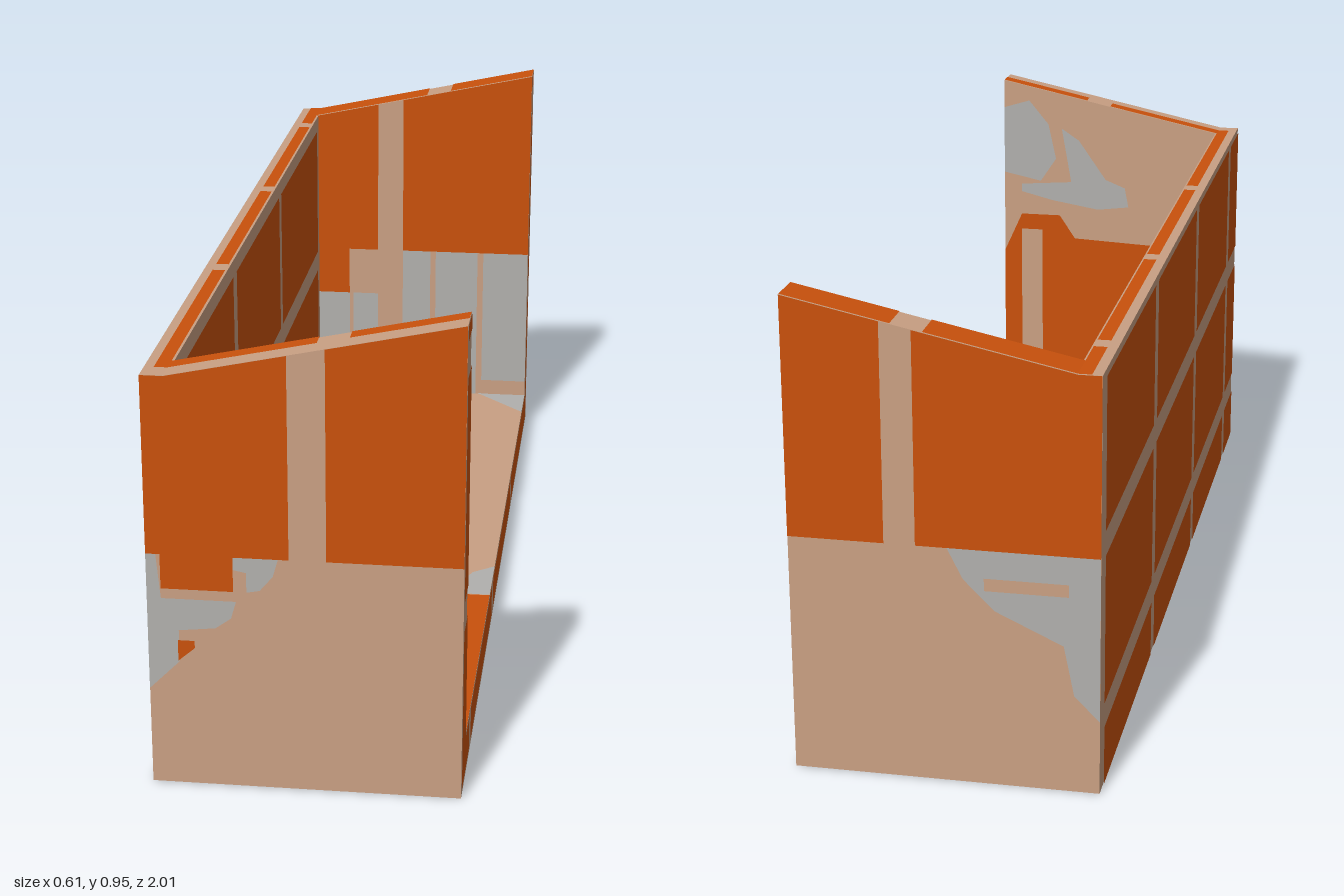
import * as THREE from 'three';

const brick = new THREE.MeshStandardMaterial({ name: 'orange brick', color: 0xc9510c });
const mortar = new THREE.MeshStandardMaterial({ name: 'tan mortar', color: 0xc9a083 });
const plaster = new THREE.MeshStandardMaterial({ name: 'grey plaster', color: 0xb1b0ad });

const L = -0.299, R = 0.295, IN = -0.25;   // outer back, open side, inner back
const Z = 1, ZI = 0.925, FLOOR = 0.09, LOW = 0.833, HIGH = 0.95;
const SLOPE = (HIGH - LOW) / (R + 0.255);
const V = (x, y, z) => new THREE.Vector3(x, y, z);
const topAt = (x) => LOW + Math.max(0, x + 0.255) * SLOPE;

// A face is an origin, two in-plane axes and an outward normal
const face = (o, u, v, n) => ({ o, u, v, n });
const X = V(1, 0, 0), Y = V(0, 1, 0), ZZ = V(0, 0, 1);
const faces = {
  endFront: face(V(0, 0, Z), X, Y, V(0, 0, 1)),
  endBack: face(V(0, 0, -Z), X, Y, V(0, 0, -1)),
  innerFront: face(V(0, 0, ZI), X, Y, V(0, 0, -1)),
  innerBack: face(V(0, 0, -ZI), X, Y, V(0, 0, 1)),
  wallInner: face(V(IN, 0, 0), ZZ, Y, V(1, 0, 0)),
  wallOuter: face(V(L, 0, 0), ZZ, Y, V(-1, 0, 0)),
  openEdge: face(V(R, 0, 0), ZZ, Y, V(1, 0, 0)),
  floorTop: face(V(0, FLOOR, 0), X, ZZ, V(0, 1, 0)),
  underside: face(V(0, 0, 0), X, ZZ, V(0, -1, 0)),
  wallTop: face(V(0, LOW, 0), X, ZZ, V(0, 1, 0)),
  slopeTop: face(V(0, LOW + 0.255 * SLOPE, 0), V(1, SLOPE, 0), ZZ, V(-SLOPE, 1, 0).normalize()),
};

const rect = (a, b, c, d) => [[a, b], [c, b], [c, d], [a, d]];

// Flat painted patch lying just above a face
function patch(f, pts, mat, name, layer = 1) {
  const flat = new THREE.ShapeGeometry(new THREE.Shape(pts.map((p) => new THREE.Vector2(...p))));
  const pos = flat.attributes.position;
  for (let i = 0; i < pos.count; i++) {
    const p = f.o.clone().addScaledVector(f.u, pos.getX(i)).addScaledVector(f.v, pos.getY(i))
      .addScaledVector(f.n, 0.0015 * layer);
    pos.setXYZ(i, p.x, p.y, p.z);
  }
  if (f.u.clone().cross(f.v).dot(f.n) < 0) flat.setIndex(Array.from(flat.index.array).reverse());
  flat.computeVertexNormals();
  const mesh = new THREE.Mesh(flat, mat);
  mesh.name = name;
  return mesh;
}

export function createModel() {
  const model = new THREE.Group();
  model.name = 'brickBalcony';
  const add = (f, pts, mat, name, layer) => model.add(patch(faces[f], pts, mat, name, layer));
  const box = (name, x0, x1, y0, y1, z0, z1) => {
    const g = new THREE.BoxGeometry(x1 - x0, y1 - y0, z1 - z0);
    g.translate((x0 + x1) / 2, (y0 + y1) / 2, (z0 + z1) / 2);
    const m = new THREE.Mesh(g, mortar);
    m.name = name;
    model.add(m);
  };

  // Solid floor, back wall and sloping end walls
  box('floor', L, R, 0, FLOOR, -ZI, ZI);
  box('backWall', L, IN, FLOOR, LOW, -ZI, ZI);
  const profile = new THREE.Shape([[L, 0], [R, 0], [R, HIGH], [-0.255, LOW], [L, LOW]].map((p) => new THREE.Vector2(...p)));
  for (const [name, z] of [['frontEndWall', ZI], ['backEndWall', -Z]]) {
    const g = new THREE.ExtrudeGeometry(profile, { depth: Z - ZI, bevelEnabled: false });
    g.translate(0, 0, z);
    const m = new THREE.Mesh(g, mortar);
    m.name = name;
    model.add(m);
  }

  // Bricks on the inside of the back wall
  for (const [a, b] of [[0.32, 0.87], [-0.28, 0.28], [-0.89, -0.31]])
    for (const [c, d] of [[0.48, 0.8], [FLOOR, 0.43]]) add('wallInner', rect(a, c, b, d), brick, 'innerBrick');

  // Bricks on the outside of the back wall
  for (const [a, b] of [[-0.96, -0.385], [-0.345, 0.22], [0.26, 0.805], [0.845, 1]])
    for (const [c, d] of [[0, 0.12], [0.17, 0.47], [0.52, 0.82]]) add('wallOuter', rect(a, c, b, d), brick, 'outerBrick');

  // Upper brickwork either side of a mortar joint on three end faces
  for (const [f, x0, a, b] of [['endFront', L, -0.03, 0.04], ['endBack', L, 0.05, 0.11], ['innerBack', IN, -0.095, -0.03]]) {
    add(f, [[x0, 0.48], [a, 0.48], [a, topAt(a)], [-0.255, LOW], [x0, LOW]], brick, 'upperBrick');
    add(f, [[b, 0.48], [R, 0.48], [R, HIGH], [b, topAt(b)]], brick, 'upperBrick');
  }

  // Worn plaster on the front end
  add('endFront', [[L, 0.48], [-0.28, 0.48], [-0.272, 0.39], [-0.13, 0.39], [-0.14, 0.355], [-0.17, 0.333],
    [-0.24, 0.325], [-0.24, 0.26], [L, 0.2]], plaster, 'wornPlaster');
  add('endFront', rect(-0.272, 0.41, -0.135, 0.48), brick, 'brickTab');
  add('endFront', [[-0.135, 0.455], [-0.11, 0.45], [-0.11, 0.41], [-0.085, 0.415], [-0.06, 0.445], [-0.05, 0.48],
    [-0.135, 0.48]], plaster, 'wornPlaster');
  add('endFront', [[-0.242, 0.262], [-0.21, 0.29], [-0.21, 0.305], [-0.242, 0.305]], brick, 'brickChip', 2);

  // Worn plaster on the back end
  add('endBack', [[-0.01, 0.48], [-0.04, 0.42], [-0.1, 0.36], [-0.23, 0.3], [-0.25, 0.2], [L, 0.15], [L, 0.48]],
    plaster, 'wornPlaster');
  add('endBack', rect(-0.24, 0.4, -0.08, 0.425), mortar, 'mortarStreak', 2);

  // Lower plaster inside the back end
  add('innerBack', rect(IN, 0.22, -0.17, 0.36), plaster, 'lowerPlaster');
  add('innerBack', rect(-0.16, FLOOR, -0.095, 0.36), plaster, 'lowerPlaster');
  add('innerBack', rect(IN, 0.36, -0.17, 0.48), brick, 'brickTab');
  add('innerBack', rect(-0.235, 0.11, -0.17, 0.22), brick, 'brickTab');
  for (const [a, b] of [[-0.03, 0.042], [0.056, 0.165], [0.18, R]])
    add('innerBack', rect(a, FLOOR, b, 0.48), plaster, 'lowerPlaster');
  add('innerBack', rect(0.18, FLOOR, R, 0.13), mortar, 'mortarCorner', 2);

  // Inside of the front end: plaster blots above, brick below
  add('innerFront', [[R, 0.88], [0.23, 0.9], [0.18, 0.84], [0.16, 0.75], [0.2, 0.69], [R, 0.71]], plaster, 'plasterBlot');
  add('innerFront', [[0.145, 0.83], [0.1, 0.8], [0.03, 0.7], [-0.02, 0.68], [-0.03, 0.63], [0.05, 0.62],
    [0.17, 0.64], [0.25, 0.66], [0.25, 0.68], [0.12, 0.69]], plaster, 'plasterBlot');
  add('innerFront', [[R, FLOOR], [R, 0.5], [0.25, 0.6], [0.15, 0.6], [0.11, 0.54], [-0.1, 0.53], [-0.11, FLOOR]],
    brick, 'lowerBrick');
  add('innerFront', rect(0.195, 0.12, 0.25, 0.56), mortar, 'mortarJoint', 2);
  add('innerFront', rect(-0.21, 0.5, -0.17, 0.54), brick, 'brickChip');

  // Floor surface
  add('floorTop', rect(IN, 0.3, 0.085, ZI), brick, 'floorBrick');
  add('floorTop', rect(0.14, 0.3, R, ZI), brick, 'floorBrick');
  add('floorTop', [[0.17, -ZI], [R, -ZI], [R, -0.8]], plaster, 'floorPlaster');
  add('floorTop', [[0.225, 0.3], [0.225, 0.25], [0.25, 0.19], [R, 0.155], [R, 0.3]], plaster, 'floorPlaster', 2);

  // Open edge: floor lip bricks and the two post fronts
  for (const [a, b] of [[-0.96, -0.38], [-0.35, 0.21], [0.25, 0.805], [0.845, 1]])
    add('openEdge', rect(a, 0.02, b, FLOOR), brick, 'lipBrick');
  for (const [a, b] of [[-0.96, -ZI], [ZI, 1]])
    for (const [c, d] of [[FLOOR, 0.35], [0.41, 0.85], [0.92, HIGH]]) add('openEdge', rect(a, c, b, d), brick, 'postBrick');

  // Brick along the wall tops
  for (const [a, b] of [[-1, -0.84], [-0.8, -0.25], [-0.21, 0.34], [0.38, 0.96]])
    add('wallTop', rect(-0.28, a, -0.254, b), brick, 'capBrick');
  for (const [z0, z1, a, b] of [[-1, -ZI, 0.03, 0.09], [ZI, 0.96, 0.02, 0.08]]) {
    add('slopeTop', rect(-0.254, z0, a, z1), brick, 'capBrick');
    add('slopeTop', rect(b, z0, R, z1), brick, 'capBrick');
  }

  // Underside: bricks along the open edge and far half, plaster elsewhere
  add('underside', rect(L, 0, 0.12, 1), plaster, 'undersidePlaster');
  for (const [a, b] of [[0.4, 0.97], [0.02, 0.36]]) add('underside', rect(0.14, a, 0.28, b), brick, 'undersideBrick');
  for (const [a, b] of [[-0.55, -0.03], [-0.97, -0.6]])
    for (const [c, d] of [[0.03, 0.28], [-0.28, -0.03]]) add('underside', rect(c, a, d, b), brick, 'undersideBrick');

  // Slight skew along the length
  const skew = new THREE.Matrix4().set(1, 0, -0.006, 0, 0, 1, 0, 0, 0, 0, 1, 0, 0, 0, 0, 1);
  model.children.forEach((m) => m.geometry.applyMatrix4(skew));
  return model;
}
